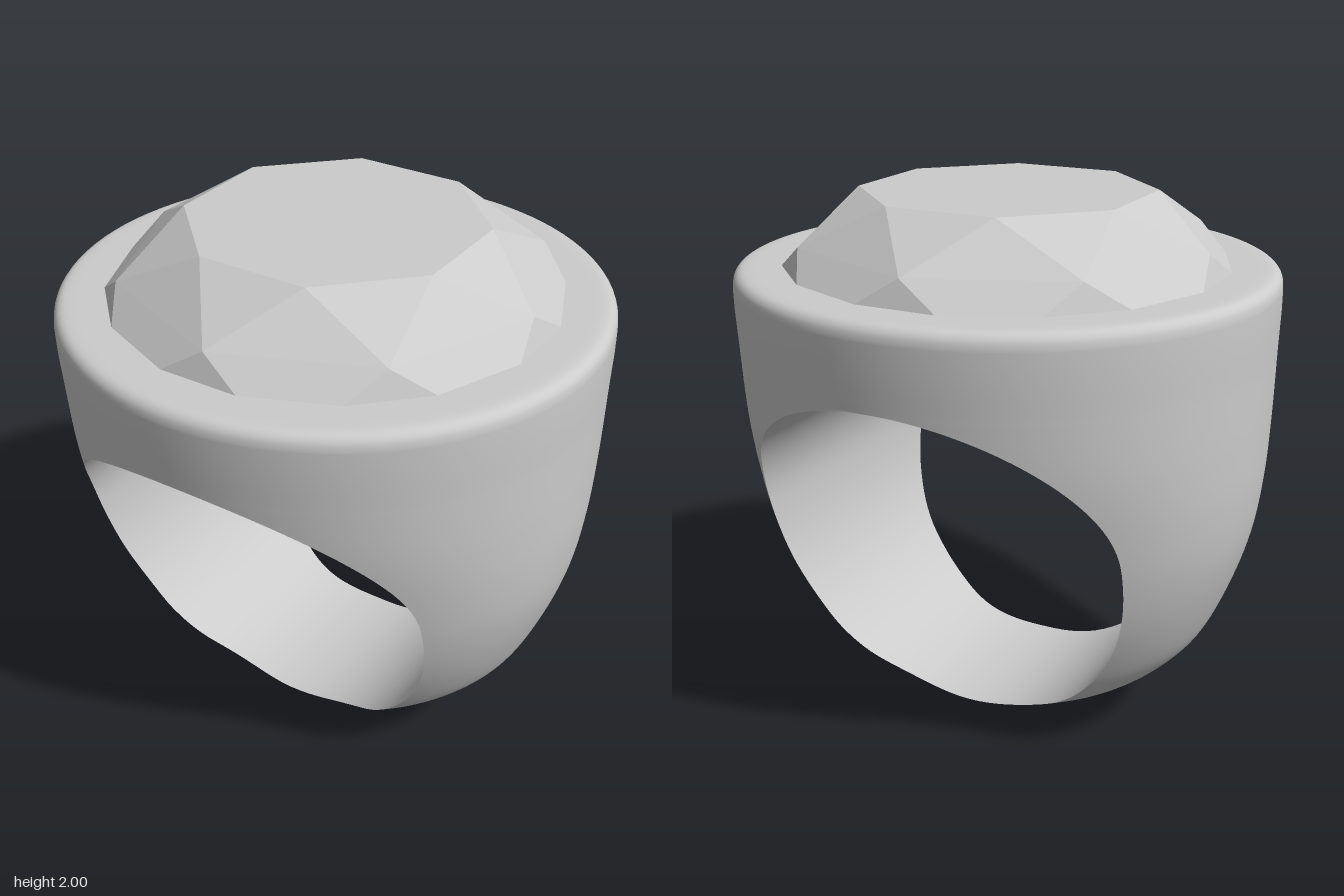
import * as THREE from 'three';
import { mergeGeometries, mergeVertices } from 'three/addons/utils/BufferGeometryUtils.js';
import { ConvexGeometry } from 'three/addons/geometries/ConvexGeometry.js';

const HOLE_TOP = 1.44, HOLE_BOTTOM = 0.08, HOLE_WIDEST = 0.87, HOLE_HALF = 0.71;

// Body sections: x half-width, height, z half-depth
const profile = new THREE.CatmullRomCurve3([
  [0, 0, 0], [0.13, 0.01, 0.14], [0.23, 0.035, 0.25], [0.36, 0.08, 0.335], [0.6, 0.2, 0.51],
  [0.72, 0.3, 0.59], [0.8, 0.4, 0.64], [0.89, 0.6, 0.75], [0.95, 0.8, 0.82], [0.977, 1, 0.88],
  [0.985, 1.2, 0.935], [0.988, 1.45, 0.97], [0.99, 1.69, 0.99], [0.983, 1.718, 0.983],
  [0.966, 1.735, 0.966], [0.94, 1.742, 0.94],
].map((p) => new THREE.Vector3(...p)));

// Body section at a given height, found by bisection
function sectionAt(y) {
  let lo = 0, hi = 1;
  for (let i = 0; i < 40; i++) {
    const mid = (lo + hi) / 2;
    if (profile.getPoint(mid).y < y) lo = mid; else hi = mid;
  }
  const p = profile.getPoint((lo + hi) / 2);
  return { y, a: p.x, b: p.z };
}

// Half-width of the finger hole at a given height
function holeHalfWidth(y) {
  if (y >= HOLE_TOP - 1e-6 || y <= HOLE_BOTTOM + 1e-6) return 0;
  const upper = y > HOLE_WIDEST;
  const n = upper ? 2 : 2.15;
  const t = Math.abs(y - HOLE_WIDEST) / (upper ? HOLE_TOP - HOLE_WIDEST : HOLE_WIDEST - HOLE_BOTTOM);
  return HOLE_HALF * Math.pow(Math.max(0, 1 - Math.pow(t, n)), 1 / n);
}

// Surface over rows and columns for the +x half, joined with its half-turn copy
function symmetricSurface(rows, cols, point, flip) {
  const positions = [], index = [];
  rows.forEach((row) => {
    for (let j = 0; j <= cols; j++) positions.push(...point(row, (2 * j) / cols - 1));
  });
  for (let i = 0; i < rows.length - 1; i++) {
    for (let j = 0; j < cols; j++) {
      const p = i * (cols + 1) + j, q = p + cols + 1;
      if (flip) index.push(p, p + 1, q, p + 1, q + 1, q);
      else index.push(p, q, p + 1, p + 1, q, q + 1);
    }
  }
  const half = new THREE.BufferGeometry();
  half.setAttribute('position', new THREE.Float32BufferAttribute(positions, 3));
  half.setIndex(index);
  const whole = mergeVertices(mergeGeometries([half, half.clone().rotateY(Math.PI)]), 1e-4);
  whole.computeVertexNormals();
  return whole;
}

// Angle along the section ellipse at which it meets the hole
const rimAngle = (s) => (s.a > 0 ? Math.acos(Math.min(1, holeHalfWidth(s.y) / s.a)) : Math.PI / 2);

function addMesh(group, name, geometry, options = {}) {
  const mesh = new THREE.Mesh(geometry, new THREE.MeshStandardMaterial({ color: 0xcccccc, ...options }));
  mesh.name = name;
  group.add(mesh);
}

// Faceted stone: octagonal table, eight crown points, sixteen-sided girdle
function gemGeometry() {
  const points = [];
  const addRing = (count, radius, y, offset) => {
    for (let i = 0; i < count; i++) {
      const angle = ((i + offset) / count) * Math.PI * 2;
      points.push(new THREE.Vector3(radius * Math.cos(angle), y, radius * Math.sin(angle)));
    }
  };
  addRing(8, 0.54, 2, 0.5);
  addRing(8, 0.767, 1.836, 0);
  addRing(16, 0.82, 1.735, 0.5);
  return new ConvexGeometry(points);
}

export function createModel() {
  const ring = new THREE.Group();
  ring.name = 'ring';

  // Heights: rounded base, hole (closer together at its ends), collar
  const baseRows = [0, 0.003, 0.01, 0.02, 0.035, 0.05, 0.065].map(sectionAt);
  const holeRows = [];
  for (let i = 0; i <= 56; i++) {
    const y = (HOLE_TOP + HOLE_BOTTOM) / 2 - ((HOLE_TOP - HOLE_BOTTOM) / 2) * Math.cos((Math.PI * i) / 56);
    holeRows.push(sectionAt(y));
  }
  const collarRows = [1.47, 1.52, 1.6, 1.68, 1.69, 1.7, 1.71, 1.718, 1.726, 1.732, 1.737, 1.74].map(sectionAt);
  // Flat seat under the stone
  const seatRows = [0.93, 0.9, 0.7].map((r) => ({ y: 1.742, a: r, b: r }));

  addMesh(ring, 'bandOuter', symmetricSurface([...baseRows, ...holeRows, ...collarRows, ...seatRows], 48, (s, u) => {
    const angle = u * rimAngle(s);
    return [s.a * Math.cos(angle), s.y, s.b * Math.sin(angle)];
  }, false));

  addMesh(ring, 'fingerHole', symmetricSurface(holeRows, 8, (s, u) =>
    [holeHalfWidth(s.y), s.y, u * s.b * Math.sin(rimAngle(s))], true));

  addMesh(ring, 'gemstone', gemGeometry(), { flatShading: true });
  return ring;
}
